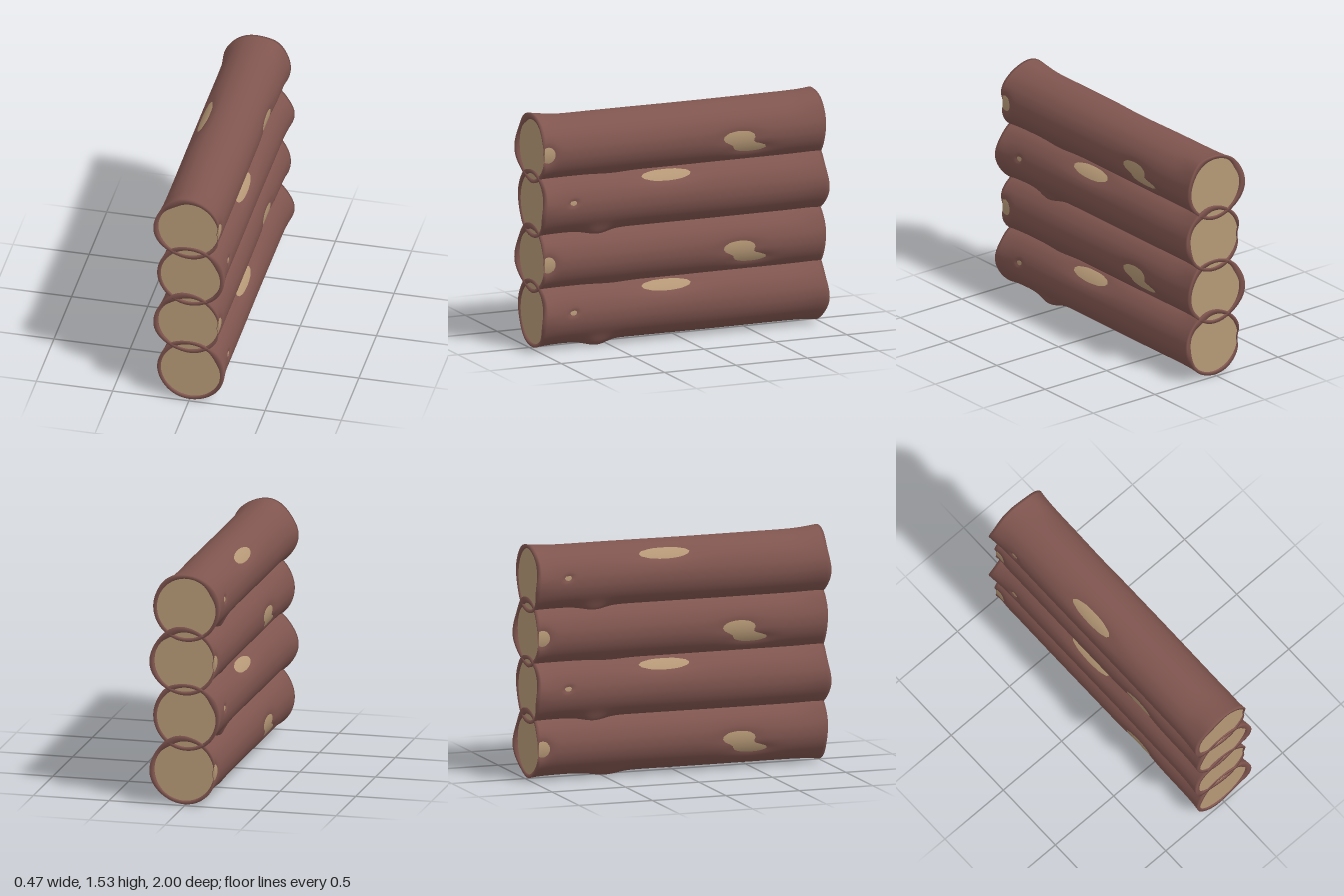
import * as THREE from 'three';

const CORE_R = 0.2, BARK_R = 0.208, HALF = 0.984;
const SEG = 88, ROWS = 104;
const DEG = Math.PI / 180;

// Swellings of the bark: [angle, z, angular width, z width, height]
const bumps = [
  [105, 0.97, 28, 0.12, 0.016],
  [55, -0.95, 20, 0.12, 0.014],
  [180, 0.97, 25, 0.1, 0.006],
  [175, -0.97, 22, 0.08, 0.008],
  [244, -0.58, 15, 0.1, 0.036],
  [290, 0.48, 15, 0.12, 0.024],
];

// Worn spots where the core shows: [angle, z, half angle, half length, depth]
const wornSpots = [
  [-4, -0.39, 12, 0.105, 0.016],
  [-27, -0.48, 8.5, 0.11, 0.016],
  [-2, 0.96, 14, 0.045, 0.034],
  [136, -0.1, 13, 0.175, 0.016],
  [173, -0.78, 4, 0.022, 0.018],
];

// Dips of the rim over the end faces: [angle, end, angular width, depth]
const rimDips = [
  [150, -1, 20, 0.014],
  [120, 1, 18, 0.011],
];

// Shortest difference between two angles, in degrees
const turn = (a, b) => ((((a - b) % 360) + 540) % 360) - 180;

function barkRadius(angle, z) {
  let r = BARK_R + 0.011 * Math.pow(Math.min(1, Math.abs(z) / HALF), 14);
  r += 0.0008 * Math.sin(3 * angle * DEG + 5 * z);
  for (const [a, zc, wa, wz, h] of bumps) {
    r += h * Math.exp(-((turn(angle, a) / wa) ** 2) - ((z - zc) / wz) ** 2);
  }
  for (const [a, zc, wa, wz, d] of wornSpots) {
    r -= d * Math.pow(2, -((turn(angle, a) / wa) ** 2) - ((z - zc) / wz) ** 2);
  }
  return r;
}

function rimRadius(angle, end) {
  let r = 0.197;
  for (const [a, e, w, d] of rimDips) {
    if (e === end) r -= d * Math.exp(-((turn(angle, a) / w) ** 2));
  }
  return r;
}

// Bark: rings along z, turned inwards at both ends to form a rim
function barkGeometry() {
  const rings = [{ end: -1, inset: 0.03 }, { end: -1, inset: 0.002 }];
  for (let i = 0; i <= ROWS; i++) rings.push({ z: HALF * (2 * i / ROWS - 1) });
  rings.push({ end: 1, inset: 0.002 }, { end: 1, inset: 0.03 });

  const positions = [], index = [];
  rings.forEach(({ z, end, inset }, i) => {
    for (let j = 0; j < SEG; j++) {
      const angle = 360 * j / SEG;
      const at = end ? end * HALF : z;
      let r = barkRadius(angle, at);
      if (end) r = Math.min(r - 0.004, rimRadius(angle, end));
      // uneven edge of the rim
      const nearEnd = Math.pow(Math.abs(at) / HALF, 30) * Math.sign(at);
      const wave = 0.016 * Math.exp(-((turn(angle, 190) / 30) ** 2))
        + 0.003 * Math.sin(4 * angle * DEG);
      const zz = at + nearEnd * wave - (end ? end * inset : 0);
      positions.push(r * Math.cos(angle * DEG), r * Math.sin(angle * DEG), zz);
      if (i < rings.length - 1) {
        const a = i * SEG + j, b = i * SEG + (j + 1) % SEG;
        index.push(a, b, a + SEG, b, b + SEG, a + SEG);
      }
    }
  });
  const geometry = new THREE.BufferGeometry();
  geometry.setAttribute('position', new THREE.Float32BufferAttribute(positions, 3));
  geometry.setIndex(index);
  geometry.computeVertexNormals();
  return geometry;
}

export function createModel() {
  const model = new THREE.Group();
  model.name = 'logStack';

  const barkMaterial = new THREE.MeshStandardMaterial({ color: 0x80554f });
  const woodMaterial = new THREE.MeshStandardMaterial({ color: 0xb59876 });
  const barkShape = barkGeometry();
  const coreShape = new THREE.CylinderGeometry(CORE_R, CORE_R, 1.95, 64);
  coreShape.rotateX(Math.PI / 2);

  // Four stacked logs, every other one turned end for end
  [0.235, 0.59, 0.955, 1.31].forEach((y, i) => {
    const log = new THREE.Group();
    log.name = `log${i + 1}`;
    const bark = new THREE.Mesh(barkShape, barkMaterial);
    bark.name = 'bark';
    const core = new THREE.Mesh(coreShape, woodMaterial);
    core.name = 'core';
    log.add(bark, core);
    const turned = i % 2 === 0;
    log.position.set(turned ? 0.008 : -0.008, y, 0);
    log.rotation.y = turned ? Math.PI : 0;
    model.add(log);
  });

  return model;
}
